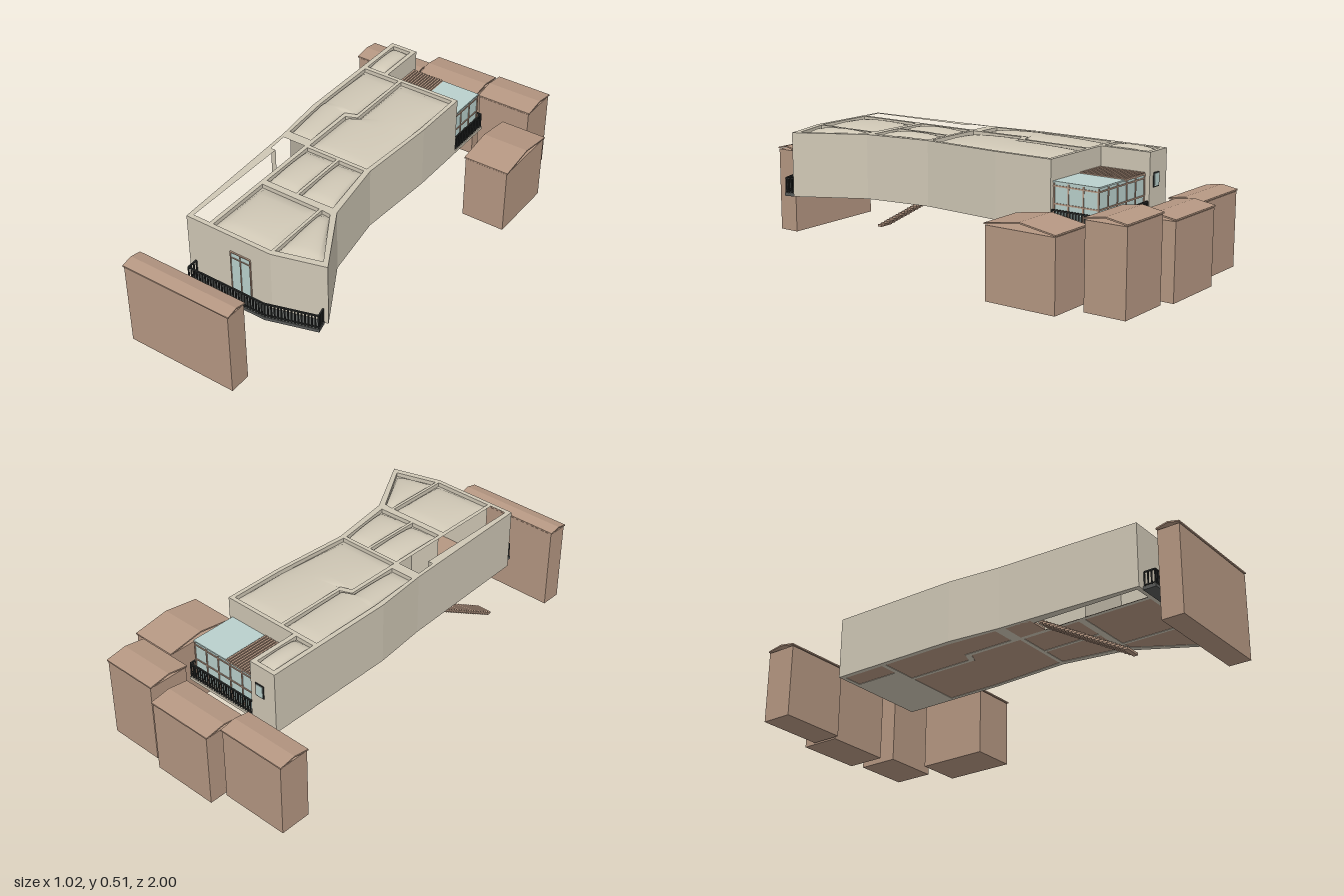
import * as THREE from 'three';

const mat = (name, color) => {
  const m = new THREE.MeshStandardMaterial({ color });
  m.name = name;
  return m;
};

export function createModel() {
  const plaster = mat('plaster', 0xcfc7b5);
  const clay = mat('clay', 0xb59782);
  const glass = mat('glass', 0xb9d0cc);
  const slate = mat('slate', 0x585a58);
  const iron = mat('iron', 0x2a2c2b);
  const model = new THREE.Group();
  model.name = 'raisedBuilding';

  const add = (name, geo, material, parent = model) => {
    const m = new THREE.Mesh(geo, material);
    m.name = name;
    parent.add(m);
    return m;
  };
  const group = (name) => {
    const g = new THREE.Group();
    g.name = name;
    model.add(g);
    return g;
  };
  // box given by its minimum and maximum corners
  const box = (name, x0, x1, y0, y1, z0, z1, material, parent) => {
    const m = add(name, new THREE.BoxGeometry(x1 - x0, y1 - y0, z1 - z0), material, parent);
    m.position.set((x0 + x1) / 2, (y0 + y1) / 2, (z0 + z1) / 2);
    return m;
  };
  // prism over an [x, z] outline, with optional holes
  const prism = (name, pts, y0, y1, material, holes = [], parent = model) => {
    const v = (list) => list.map(([x, z]) => new THREE.Vector2(x, -z));
    const shape = new THREE.Shape(v(pts));
    shape.holes = holes.map((h) => new THREE.Path(v(h)));
    const geo = new THREE.ExtrudeGeometry(shape, { depth: y1 - y0, bevelEnabled: false });
    geo.rotateX(-Math.PI / 2).translate(0, y0, 0);
    return add(name, geo, material, parent);
  };

  // rooms: matching points along the left and right edges, back to front
  const rooms = [
    { l: [[-0.262, -0.71], [-0.262, -0.505]], r: [[-0.175, -0.71], [-0.175, -0.505]] },
    { l: [[-0.262, -0.485], [-0.262, -0.175], [-0.262, -0.155], [-0.246, 0.083]],
      r: [[-0.09, -0.485], [-0.09, -0.175], [-0.14, -0.155], [-0.14, 0.083]] },
    { l: [[-0.075, -0.485], [-0.075, -0.155], [-0.122, -0.135], [-0.122, 0.115]],
      r: [[0.18, -0.485], [0.18, -0.24], [0.174, -0.135], [0.157, 0.115]] },
    { l: [[-0.12, 0.133], [-0.12, 0.4]], r: [[0.022, 0.133], [0.022, 0.4]] },
    { l: [[0.035, 0.133], [0.035, 0.4]], r: [[0.155, 0.133], [0.192, 0.395]] },
    { l: [[-0.12, 0.43], [-0.12, 0.73]], r: [[0.153, 0.43], [0.153, 0.73]] },
    { l: [[0.166, 0.43], [0.166, 0.723]], r: [[0.207, 0.435], [0.347, 0.672]] },
  ];
  const stairwell = [[-0.243, 0.13], [-0.138, 0.13], [-0.138, 0.73], [-0.215, 0.73], [-0.215, 0.22], [-0.238, 0.22]];
  const outline = [
    [-0.283, -0.73], [-0.155, -0.73], [-0.155, -0.503], [0.198, -0.503], [0.198, -0.24], [0.177, 0.12],
    [0.222, 0.41], [0.38, 0.69], [0.163, 0.75], [-0.235, 0.75], [-0.259, 0.11], [-0.283, -0.13],
  ];
  const roomOutline = (r) => [...r.l, ...[...r.r].reverse()];
  prism('walls', outline, 0.23, 0.505, plaster, [...rooms.map(roomOutline), stairwell]);

  // pillow-shaped roof panel filling one room
  const pillow = (room) => {
    const pos = [], idx = [], cols = 16, steps = 10, segs = room.l.length - 1;
    const z0 = room.l[0][1], z1 = room.l[segs][1], rows = segs * steps;
    const mix = THREE.MathUtils.lerp;
    for (let i = 0; i <= rows; i++) {
      const s = Math.min(Math.floor(i / steps), segs - 1), t = i / steps - s;
      const at = (side, k) => mix(side[s][k], side[s + 1][k], t);
      const v = (at(room.l, 1) - z0) / (z1 - z0);
      for (let j = 0; j <= cols; j++) {
        const u = j / cols;
        const f = Math.pow(Math.max(0, 16 * u * (1 - u) * v * (1 - v)), 0.42);
        pos.push(mix(at(room.l, 0), at(room.r, 0), u), 0.487 + 0.027 * f, mix(at(room.l, 1), at(room.r, 1), u));
        if (i < rows && j < cols) {
          const a = i * (cols + 1) + j, b = a + cols + 1;
          idx.push(a, b, a + 1, a + 1, b, b + 1);
        }
      }
    }
    const geo = new THREE.BufferGeometry();
    geo.setAttribute('position', new THREE.Float32BufferAttribute(pos, 3));
    geo.setIndex(idx);
    geo.computeVertexNormals();
    return geo;
  };
  const roof = group('roofPanels'), floors = group('floors');
  rooms.forEach((r) => {
    add('roofPanel', pillow(r), plaster, roof);
    prism('floor', roomOutline(r), 0.232, 0.242, clay, [], floors);
  });

  // landing and the stair down to the ground
  const stair = group('stair');
  box('landing', -0.243, -0.138, 0.23, 0.24, 0.13, 0.25, clay, stair);
  const count = 23;
  for (let i = 0; i < count; i++) {
    const z = 0.272 + (i * 0.385) / (count - 1), y = 0.224 * (1 - i / (count - 1));
    box('step', -0.213, -0.14, y, y + 0.01, z, z + 0.02, clay, stair);
  }

  // bar between two points, and a railing along a path of [x, z] points
  const bar = (name, a, b, w, material, parent) => {
    const m = add(name, new THREE.BoxGeometry(w, w, a.distanceTo(b)), material, parent);
    m.position.copy(a).add(b).multiplyScalar(0.5);
    m.lookAt(b);
  };
  const railing = (name, path, y0, y1) => {
    const g = group(name);
    for (let i = 0; i < path.length - 1; i++) {
      const [a, b] = [path[i], path[i + 1]].map(([x, z]) => new THREE.Vector3(x, 0, z));
      const up = (p, y) => p.clone().setY(y);
      bar('topRail', up(a, y1), up(b, y1), 0.006, iron, g);
      bar('bottomRail', up(a, y0 + 0.008), up(b, y0 + 0.008), 0.004, iron, g);
      const n = Math.max(1, Math.round(a.distanceTo(b) / 0.0135));
      for (let k = 0; k <= n; k++) {
        const p = a.clone().lerp(b, k / n);
        box('baluster', p.x - 0.0025, p.x + 0.0025, y0, y1, p.z - 0.0025, p.z + 0.0025, iron, g);
      }
    }
  };

  // front balcony
  prism('balconySlab', [[-0.205, 0.75], [0.163, 0.75], [0.365, 0.694], [0.377, 0.745], [0.168, 0.807], [-0.205, 0.807]],
    0.226, 0.24, slate);
  railing('balconyRailing', [[-0.2, 0.755], [-0.2, 0.802], [0.167, 0.802], [0.372, 0.741], [0.363, 0.7]], 0.24, 0.303);

  // front glass door
  const door = group('frontDoor');
  box('doorGlass', -0.025, 0.067, 0.24, 0.43, 0.747, 0.753, glass, door);
  for (const x of [-0.025, 0.021, 0.067]) box('doorPost', x - 0.002, x + 0.002, 0.24, 0.43, 0.747, 0.756, clay, door);
  for (const y of [0.405, 0.43]) box('doorRail', -0.027, 0.069, y - 0.002, y + 0.002, 0.747, 0.756, clay, door);

  // small back window
  const win = group('backWindow');
  box('windowFrame', -0.225, -0.182, 0.36, 0.42, -0.733, -0.728, iron, win);
  box('windowPane', -0.22, -0.187, 0.365, 0.415, -0.735, -0.73, glass, win);

  // glazed back room on its terrace
  const sun = group('glassRoom');
  box('terraceSlab', -0.155, 0.198, 0.23, 0.243, -0.73, -0.503, plaster, sun);
  box('glassWalls', -0.15, 0.178, 0.243, 0.415, -0.708, -0.503, glass, sun);
  box('glassRoof', 0.002, 0.182, 0.413, 0.419, -0.711, -0.503, glass, sun);
  box('slattedRoof', -0.155, 0.002, 0.412, 0.418, -0.711, -0.503, clay, sun);
  for (let i = 0; i < 12; i++) {
    const x = -0.152 + i * 0.0128;
    box('roofSlat', x, x + 0.008, 0.418, 0.423, -0.711, -0.503, clay, sun);
  }
  for (let i = 0; i <= 5; i++) {
    const x = -0.15 + (i * 0.328) / 5;
    box('backMullion', x - 0.003, x + 0.003, 0.243, 0.413, -0.711, -0.705, clay, sun);
  }
  for (const z of [-0.64, -0.572, -0.507]) box('sideMullion', 0.175, 0.181, 0.243, 0.413, z - 0.003, z + 0.003, clay, sun);
  for (const y of [0.33, 0.4]) {
    box('backTransom', -0.15, 0.181, y - 0.003, y + 0.003, -0.711, -0.705, clay, sun);
    box('sideTransom', 0.175, 0.181, y - 0.003, y + 0.003, -0.708, -0.503, clay, sun);
  }
  railing('terraceRailing', [[-0.152, -0.725], [0.193, -0.725], [0.193, -0.506]], 0.243, 0.308);

  // neighbouring houses: x range, z range, wall height, roof rise
  const house = (x0, x1, z0, z1, h, rise) => {
    const g = group('house');
    box('houseWalls', x0 + 0.005, x1 - 0.005, 0, h, z0 + 0.003, z1 - 0.003, clay, g);
    const c = (z0 + z1) / 2, e = h + 0.003, t = 0.006;
    const profile = [[z0, e], [c, e + rise], [z1, e], [z1, e + t], [c, e + rise + t], [z0, e + t]];
    const shape = new THREE.Shape(profile.map(([z, y]) => new THREE.Vector2(-z, y)));
    const geo = new THREE.ExtrudeGeometry(shape, { depth: x1 - x0, bevelEnabled: false });
    geo.rotateY(Math.PI / 2).translate(x0, 0, 0);
    add('houseRoof', geo, clay, g);
  };
  house(-0.35, 0.158, 0.9, 1, 0.367, 0.011);
  house(-0.51, -0.2, -0.932, -0.79, 0.315, 0.012);
  house(-0.197, 0.108, -1, -0.82, 0.315, 0.014);
  house(0.142, 0.398, -0.97, -0.785, 0.348, 0.015);
  house(0.297, 0.506, -0.737, -0.415, 0.295, 0.025);

  return model;
}
